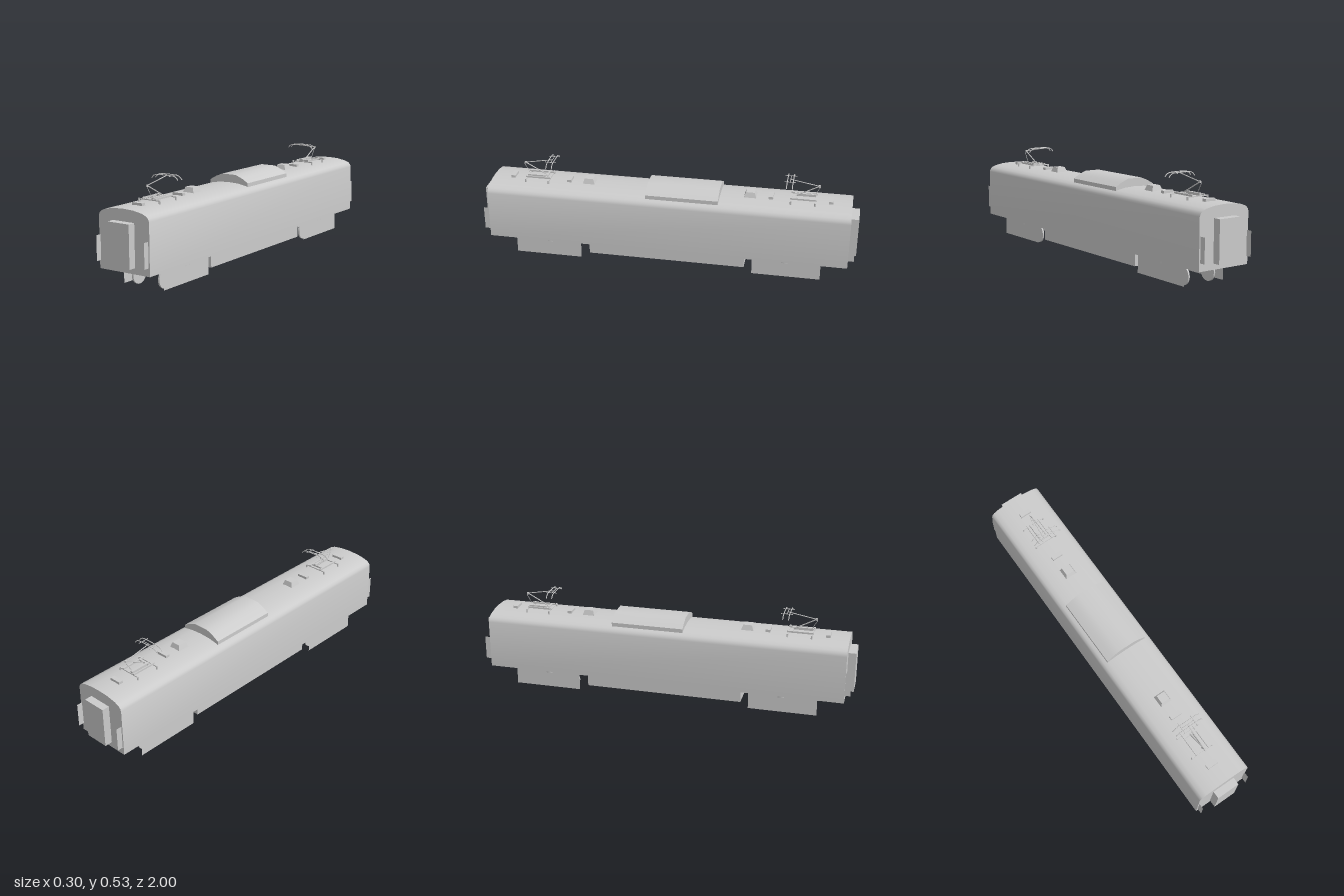
import * as THREE from 'three';
import { toCreasedNormals } from 'three/addons/utils/BufferGeometryUtils.js';

const grey = new THREE.MeshStandardMaterial({ color: 0xcccccc });
const greyThin = new THREE.MeshStandardMaterial({ color: 0xcccccc, side: THREE.DoubleSide });

function add(parent, name, geometry, x = 0, y = 0, z = 0, material = grey) {
  const mesh = new THREE.Mesh(geometry, material);
  mesh.name = name;
  mesh.position.set(x, y, z);
  parent.add(mesh);
  return mesh;
}

// Box given by its extents on each axis
function box(parent, name, x0, x1, y0, y1, z0, z1) {
  return add(parent, name, new THREE.BoxGeometry(x1 - x0, y1 - y0, z1 - z0),
    (x0 + x1) / 2, (y0 + y1) / 2, (z0 + z1) / 2);
}

// Half profile (bottom right, up to the centre) mirrored and extruded along z
function hull(parent, name, half, z0, z1) {
  const left = half.filter(p => p[0] > 0).reverse().map(([x, y]) => [-x, y]);
  const shape = new THREE.Shape([...half, ...left].map(p => new THREE.Vector2(...p)));
  const geometry = new THREE.ExtrudeGeometry(shape, { depth: z1 - z0, bevelEnabled: false });
  return add(parent, name, toCreasedNormals(geometry, 0.75), 0, 0, z0);
}

// Thin round bar between two points
function rod(parent, name, a, b, radius = 0.002) {
  const from = new THREE.Vector3(...a), to = new THREE.Vector3(...b);
  const mesh = add(parent, name, new THREE.CylinderGeometry(radius, radius, from.distanceTo(to), 6));
  mesh.position.copy(from).add(to).multiplyScalar(0.5);
  mesh.quaternion.setFromUnitVectors(new THREE.Vector3(0, 1, 0), to.sub(from).normalize());
  return mesh;
}

function createPantograph() {
  const g = new THREE.Group();
  g.name = 'pantograph';
  // Insulators and base frame
  for (const z of [0.645, 0.77]) {
    for (const x of [-0.062, 0.062])
      add(g, 'insulator', new THREE.CylinderGeometry(0.005, 0.005, 0.018, 8), x, 0.417, z);
    box(g, 'baseCrossBar', -0.066, 0.066, 0.422, 0.427, z - 0.003, z + 0.003);
  }
  for (const x of [-0.037, 0.037])
    box(g, 'baseSideBar', x - 0.003, x + 0.003, 0.425, 0.434, 0.64, 0.775);
  box(g, 'armPivot', -0.037, 0.037, 0.425, 0.433, 0.66, 0.67);
  box(g, 'springBox', 0.012, 0.024, 0.424, 0.437, 0.66, 0.77);
  // Folding arm
  rod(g, 'lowerArm', [0, 0.428, 0.66], [0, 0.495, 0.785], 0.003);
  rod(g, 'tieRod', [0.006, 0.428, 0.755], [0.004, 0.488, 0.79], 0.0013);
  rod(g, 'upperArm', [0, 0.495, 0.785], [0, 0.522, 0.635], 0.0025);
  box(g, 'knee', -0.004, 0.004, 0.489, 0.5, 0.78, 0.79);
  // Collector head
  const bow = [[-0.08, 0.505], [-0.07, 0.517], [-0.055, 0.524], [-0.035, 0.526], [0.035, 0.526],
    [0.055, 0.524], [0.07, 0.517], [0.08, 0.505]];
  for (const z of [0.62, 0.65]) {
    const path = new THREE.CatmullRomCurve3(bow.map(([x, y]) => new THREE.Vector3(x, y, z)));
    add(g, 'contactStrip', new THREE.TubeGeometry(path, 28, 0.0025, 6));
  }
  for (const x of [-0.037, 0.037])
    rod(g, 'headLink', [x, 0.524, 0.605], [x, 0.524, 0.665], 0.0018);
  rod(g, 'headPivot', [-0.037, 0.522, 0.635], [0.037, 0.522, 0.635], 0.0018);
  return g;
}

// Everything that repeats at each end
function createEnd() {
  const g = new THREE.Group();
  g.name = 'endAssembly';
  box(g, 'gangway', -0.063, 0.063, 0.14, 0.353, 0.955, 1);
  for (const s of [-1, 1]) {
    const rail = add(g, 'handrailPanel', new THREE.PlaneGeometry(0.03, 0.125), s * 0.143, 0.213, 0.975, greyThin);
    rail.rotation.y = Math.PI / 2;
    // Bogie side frame, wheels and suspension disc
    const frame = add(g, 'bogieSideFrame', new THREE.PlaneGeometry(0.36, 0.1), s * 0.121, 0.06, 0.643, greyThin);
    frame.rotation.y = Math.PI / 2;
    for (const z of [0.525, 0.76]) {
      const wheel = add(g, 'wheel', new THREE.CylinderGeometry(0.049, 0.049, 0.009, 32), s * 0.08, 0.049, z);
      wheel.rotation.z = Math.PI / 2;
    }
    add(g, 'suspensionDisc', new THREE.CylinderGeometry(0.04, 0.04, 0.014, 32), s * 0.085, 0.098, 0.635);
  }
  // Roof equipment
  for (const z of [0.54, 0.85])
    box(g, 'roofBox', -0.03, 0.03, 0.405, 0.425, z - 0.012, z + 0.012);
  const vent = new THREE.CylinderGeometry(0.023 * Math.SQRT2, 0.034 * Math.SQRT2, 0.032, 4, 1).toNonIndexed();
  vent.rotateY(Math.PI / 4);
  vent.computeVertexNormals();
  add(g, 'roofVent', vent, 0, 0.422, 0.432);
  g.add(createPantograph());
  return g;
}

export function createModel() {
  const model = new THREE.Group();
  model.name = 'electricLocomotive';
  hull(model, 'body', [[0.15, 0.11], [0.15, 0.366], [0.145, 0.38], [0.134, 0.391], [0.11, 0.401],
    [0.06, 0.41], [0, 0.413]], -0.96, 0.96);
  hull(model, 'roofHood', [[0.118, 0.396], [0.118, 0.418], [0.084, 0.438], [0.043, 0.4545]], -0.275, 0.107);
  box(model, 'underfloorBox', -0.107, 0.107, 0.033, 0.112, -0.42, 0.42);
  const front = createEnd();
  const back = createEnd();
  back.rotation.y = Math.PI;
  model.add(front, back);
  return model;
}
